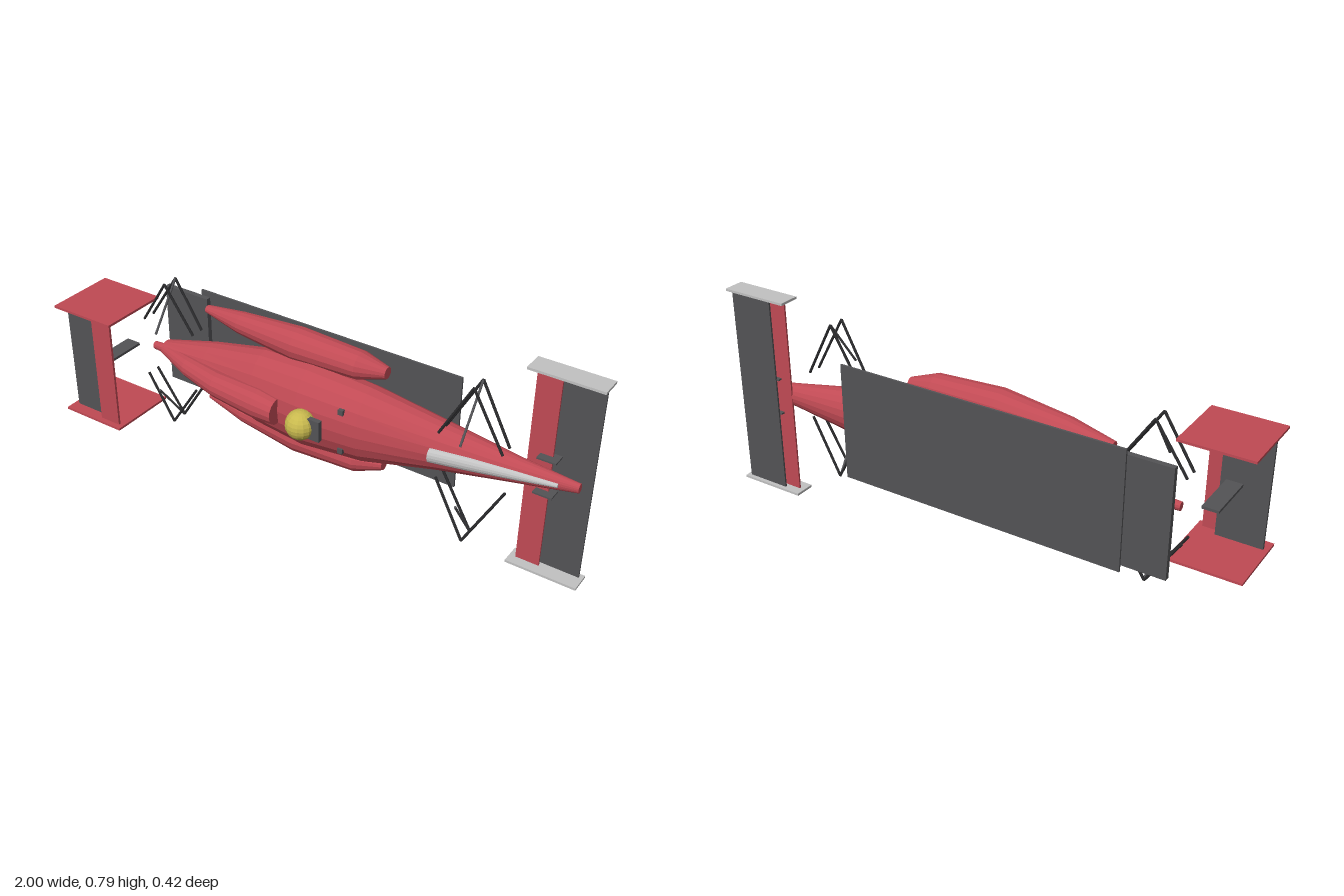
import * as THREE from 'three';

const paint = (name, color, flatShading = false) => {
  const m = new THREE.MeshStandardMaterial({ color, flatShading });
  m.name = name;
  return m;
};

export function createModel() {
  const red = paint('red paint', 0xc04a54, true);
  const carbon = paint('carbon grey', 0x535356);
  const black = paint('rod black', 0x2c2c2e);
  const silver = paint('silver', 0xc2c2c2, true);
  const yellow = paint('helmet yellow', 0xc8b94e, true);

  // The nose points along +x, the car's upper side faces +z and its width runs along y.
  const MID = 0.4;
  const car = new THREE.Group();
  car.name = 'racingCar';

  const add = (name, geometry, material) => {
    const mesh = new THREE.Mesh(geometry, material);
    mesh.name = name;
    car.add(mesh);
    return mesh;
  };

  // Box given by its limits on each axis
  const box = (name, material, [x0, x1], [y0, y1], [z0, z1]) =>
    add(name, new THREE.BoxGeometry(x1 - x0, y1 - y0, z1 - z0), material)
      .position.set((x0 + x1) / 2, (y0 + y1) / 2, (z0 + z1) / 2);

  // Hull through elliptical stations [x, yCentre, zCentre, yRadius, zRadius], rear to front
  const hull = (name, material, stations, sides) => {
    const g = new THREE.CylinderGeometry(1, 1, 1, sides, stations.length - 1);
    g.rotateZ(-Math.PI / 2);
    const p = g.attributes.position;
    for (let i = 0; i < p.count; i++) {
      const [x, cy, cz, ry, rz] = stations[Math.round((p.getX(i) + 0.5) * (stations.length - 1))];
      p.setXYZ(i, x, cy + p.getY(i) * ry, cz + p.getZ(i) * rz);
    }
    g.computeVertexNormals();
    return add(name, g, material);
  };

  const rod = (name, material, from, to, radius = 0.005) => {
    const a = new THREE.Vector3(...from), b = new THREE.Vector3(...to);
    const dir = b.clone().sub(a);
    const m = add(name, new THREE.CylinderGeometry(radius, radius, dir.length(), 8), material);
    m.position.copy(a).add(b).multiplyScalar(0.5);
    m.quaternion.setFromUnitVectors(new THREE.Vector3(0, 1, 0), dir.normalize());
  };

  // Main body, engine cover, tail pipe and nose panel
  hull('body', red, [
    [-0.73, MID, -0.09, 0.027, 0.037],
    [-0.5, MID, -0.09, 0.09, 0.08],
    [-0.25, MID, -0.08, 0.15, 0.108],
    [-0.04, MID, -0.075, 0.167, 0.12],
    [0.2, MID, -0.083, 0.148, 0.108],
    [0.48, MID, -0.112, 0.091, 0.074],
    [0.75, MID, -0.13, 0.047, 0.038],
    [0.955, MID, -0.15, 0.018, 0.014],
  ], 20);
  hull('engineCover', red, [
    [-0.73, MID, -0.075, 0.02, 0.022],
    [-0.57, MID, -0.025, 0.038, 0.042],
    [-0.4, MID, 0.015, 0.048, 0.05],
    [-0.2, MID, 0.033, 0.058, 0.055],
    [-0.115, MID, 0.04, 0.05, 0.048],
  ], 16);
  hull('tailPipe', red, [
    [-0.775, MID, -0.075, 0.016, 0.014],
    [-0.7, MID, -0.075, 0.02, 0.018],
  ], 12);
  hull('nosePanel', silver, [
    [0.46, MID, -0.037, 0.028, 0.02],
    [0.6, MID, -0.068, 0.026, 0.02],
    [0.75, MID, -0.1, 0.019, 0.018],
    [0.89, MID, -0.127, 0.009, 0.012],
  ], 16);

  // Driver
  add('helmet', new THREE.SphereGeometry(0.056, 16, 12), yellow).position.set(0, MID, 0.058);
  box('visor', carbon, [0.03, 0.083], [0.36, 0.442], [0.05, 0.069]);

  // Floor and diffuser
  box('floor', carbon, [-0.635, 0.48], [0.172, 0.626], [-0.208, -0.2]);
  box('diffuser', carbon, [-0.795, -0.595], [0.195, 0.605], [-0.2, -0.18]);

  // Rear wing
  box('rearWingMainPlane', carbon, [-0.982, -0.81], [0.18, 0.62], [0.151, 0.162]);
  box('rearWingFlap', red, [-0.84, -0.753], [0.18, 0.62], [0.178, 0.187]);
  box('rearWingPillar', carbon, [-0.89, -0.83], [0.395, 0.405], [-0.045, 0.152]);

  // Front wing
  box('frontWingMainPlane', carbon, [0.81, 0.985], [0.01, 0.79], [-0.19, -0.183]);
  box('frontWingFlap', red, [0.757, 0.845], [0.01, 0.79], [-0.169, -0.162]);

  // Parts mirrored across the centre line
  for (const s of [1, -1]) {
    const Y = d => MID + s * d;
    const span = (a, b) => [Math.min(Y(a), Y(b)), Math.max(Y(a), Y(b))];

    hull('sidePod', red, [
      [-0.565, Y(0.19), -0.148, 0.014, 0.018],
      [-0.39, Y(0.192), -0.132, 0.042, 0.044],
      [-0.13, Y(0.195), -0.12, 0.064, 0.064],
      [0.13, Y(0.195), -0.122, 0.052, 0.054],
      [0.23, Y(0.192), -0.134, 0.022, 0.022],
    ], 16);
    box('rearWingEndPlate', red, [-1, -0.733], span(0.218, 0.227), [-0.065, 0.207]);
    box('frontWingEndPlate', silver, [0.735, 1], span(0.387, 0.396), [-0.205, -0.125]);
    box('frontWingPillar', carbon, [0.8, 0.87], span(0.067, 0.073), [-0.185, -0.132]);
    box('mirror', carbon, [0.13, 0.15], span(0.07, 0.09), [0.006, 0.023]);

    // Suspension: two V-shaped arms and a push rod at each corner
    for (const [x, outer, inner] of [[0.6, 0.31, 0.092], [-0.68, 0.3, 0.12]]) {
      for (const dx of [-0.118, 0.118]) {
        rod('upperArm', black, [x, Y(outer), -0.045], [x + dx, Y(inner), -0.051]);
        rod('lowerArm', black, [x, Y(outer), -0.108], [x + dx, Y(inner), -0.102]);
      }
      rod('pushRod', carbon, [x, Y(outer), -0.107], [x, Y(0.122), 0.022], 0.0045);
    }
  }
  return car;
}
